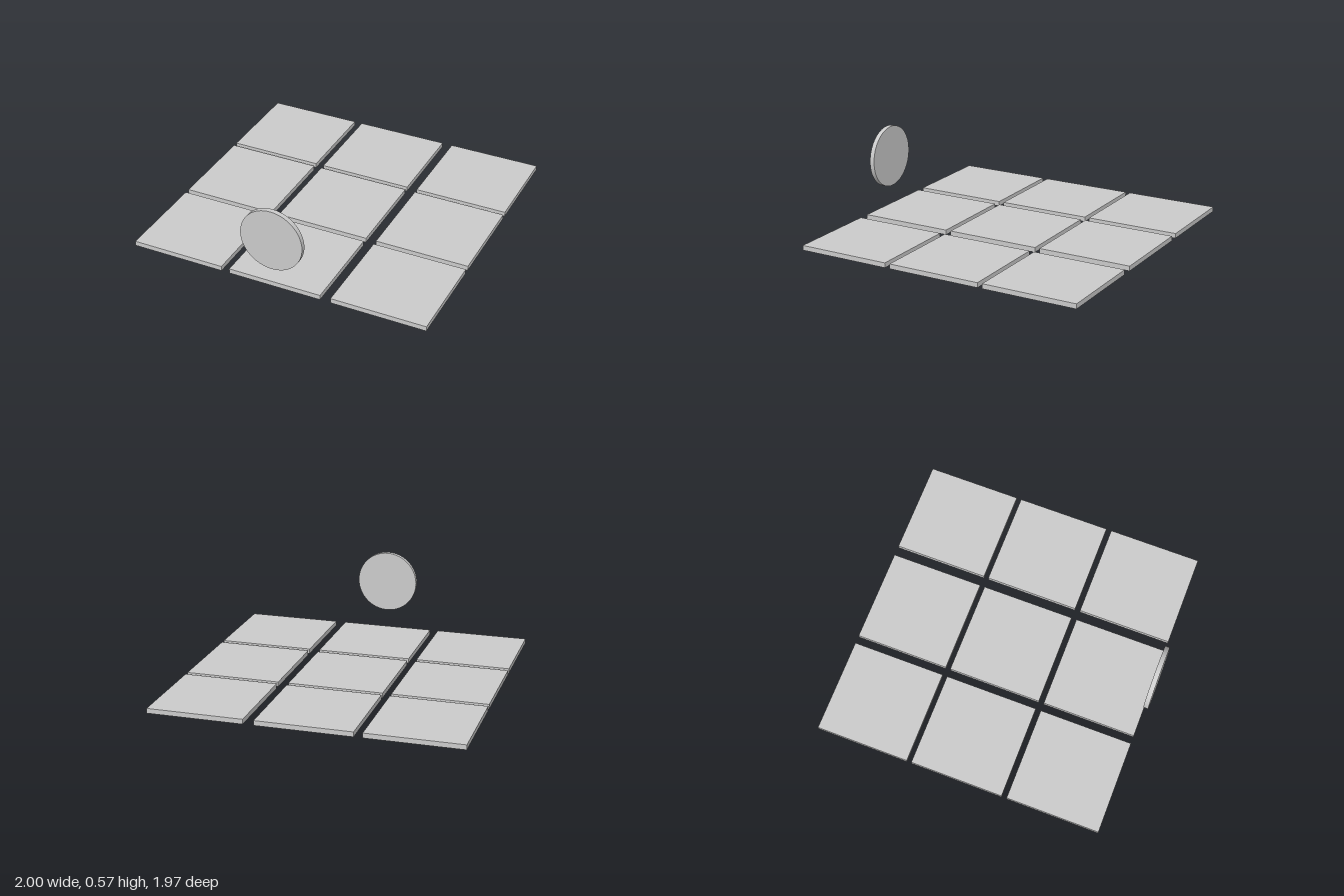
import * as THREE from 'three';

export function createModel() {
  const group = new THREE.Group();
  const material = new THREE.MeshStandardMaterial({ color: 0xcccccc });
  const thickness = 0.032;

  // Three by three grid of thin floor tiles
  const tileGeometry = new THREE.BoxGeometry(0.625, thickness, 0.625);
  const columns = [-0.6875, -0.007, 0.6875];
  const rows = [-0.675, -0.018, 0.642];
  const tiles = new THREE.Group();
  tiles.name = 'floorTiles';
  rows.forEach((z, r) => columns.forEach((x, c) => {
    const tile = new THREE.Mesh(tileGeometry, material);
    tile.name = `tileRow${r + 1}Column${c + 1}`;
    tile.position.set(x, thickness / 2, z);
    tiles.add(tile);
  }));
  group.add(tiles);

  // Upright disc floating at the front edge
  const disc = new THREE.Mesh(new THREE.CylinderGeometry(0.208, 0.208, thickness, 64), material);
  disc.name = 'uprightDisc';
  disc.rotation.x = Math.PI / 2;
  disc.position.set(-0.002, 0.362, 0.971);
  group.add(disc);

  return group;
}
